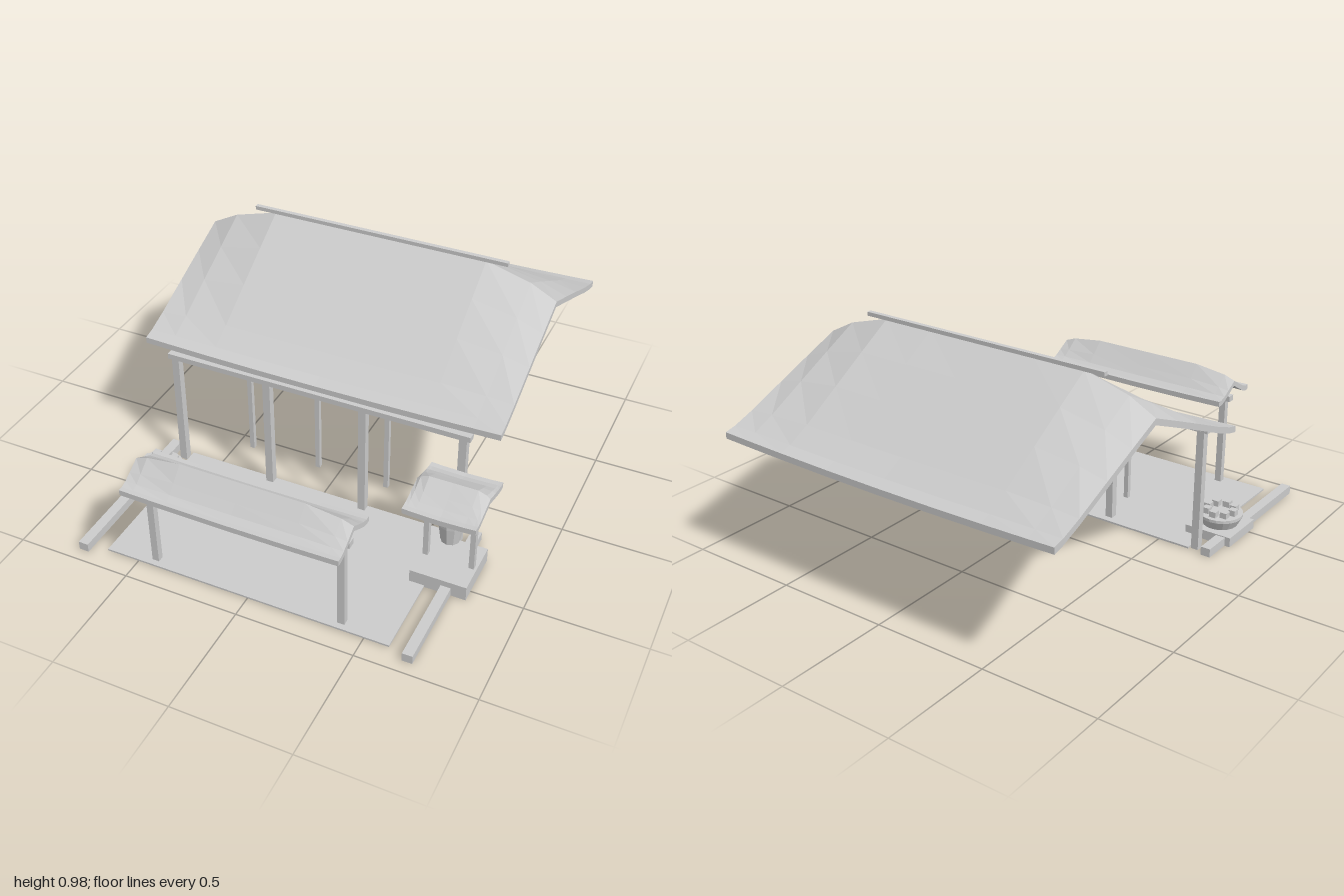
import * as THREE from 'three';

const stone = new THREE.MeshStandardMaterial({ color: 0xcccccc, flatShading: true });
stone.name = 'pale grey';

export function createModel() {
  const model = new THREE.Group();
  model.name = 'templeCourtyard';

  const add = (name, geometry, x = 0, y = 0, z = 0, parent = model) => {
    const mesh = new THREE.Mesh(geometry, stone);
    mesh.name = name;
    mesh.position.set(x, y, z);
    parent.add(mesh);
    return mesh;
  };
  // box given by centre x/z, bottom and top heights
  const box = (name, x, z, w, d, y0, y1, parent) =>
    add(name, new THREE.BoxGeometry(w, y1 - y0, d), x, (y0 + y1) / 2, z, parent);

  // Curved gable roof: ridge = [distance from middle, ridge height],
  // curve = [share of the way from eave to ridge, share of the rise]
  function roof(name, cx, cz, half, eave, lift, thick, ridge, curve) {
    const end = ridge[ridge.length - 1][0];
    const stations = [
      ...ridge.slice().reverse().map(([u, h]) => [-u, h]),
      ...ridge.filter(([u]) => u > 0),
    ];
    const slope = [
      ...curve.map(([s, f]) => [half * (1 - s), f]),
      ...curve.slice(0, -1).reverse().map(([s, f]) => [-half * (1 - s), f]),
    ];
    const n = slope.length, m = 2 * n, pos = [], idx = [];
    for (const [u, h] of stations) {
      const e = eave + lift * (u / end) ** 2;
      const top = slope.map(([z, f]) => [u, e + (h - e) * f, z]);
      const under = top.map(([x, y, z]) => [x, y - thick, z]).reverse();
      pos.push(...top.flat(), ...under.flat());
    }
    for (let i = 0; i < stations.length - 1; i++) {
      for (let j = 0; j < m; j++) {
        const a = i * m + j, b = i * m + (j + 1) % m;
        idx.push(a, a + m, b, b, a + m, b + m);
      }
    }
    const last = (stations.length - 1) * m;
    for (let k = 0; k < n - 1; k++) {
      const t = k, t2 = k + 1, b = m - 1 - k, b2 = m - 2 - k;
      idx.push(last + t, last + b, last + b2, last + t, last + b2, last + t2);
      idx.push(t, b2, b, t, t2, b2);
    }
    const g = new THREE.BufferGeometry();
    g.setAttribute('position', new THREE.Float32BufferAttribute(pos, 3));
    g.setIndex(idx);
    const flat = g.toNonIndexed();
    flat.computeVertexNormals();
    return add(name, flat, cx, 0, cz);
  }

  const flared = [[0, 0], [0.15, 0], [0.35, 0.14], [0.6, 0.46], [1, 1]];
  const sweeping = [[0, 0], [0.08, 0.045], [0.23, 0.185], [0.5, 0.475], [0.75, 0.74], [1, 1]];

  // Main hall
  const cx = -0.02;
  roof('hallRoof', cx, -0.378, 0.622, 0.585, 0.013, 0.027,
    [[0, 0.96], [0.25, 0.96], [0.485, 0.96], [0.68, 0.905], [0.795, 0.845]], sweeping);
  box('hallRidge', cx, -0.38, 1.16, 0.02, 0.958, 0.975);
  box('hallBeam', cx, 0.246, 1.36, 0.036, 0.536, 0.56);
  for (const [u, y] of [[-0.648, 0], [-0.217, 0.02], [0.217, 0.02], [0.648, 0]]) {
    box('hallPost', cx + u, 0.244, 0.033, 0.033, y, 0.54);
  }
  for (const u of [-0.313, 0, 0.313]) {
    box('hangingPole', cx + u, 0.218, 0.02, 0.02, 0.152, 0.555);
  }

  // Courtyard floor and side curbs
  box('courtyardFloor', cx, 0.56, 1.25, 0.69, 0, 0.008);
  for (const s of [-1, 1]) box('sideCurb', cx + s * 0.715, 0.573, 0.043, 0.745, 0, 0.038);

  // Front gate
  roof('gateRoof', cx, 0.866, 0.133, 0.45, 0.006, 0.024,
    [[0, 0.552], [0.265, 0.552], [0.41, 0.533], [0.46, 0.515]], flared);
  box('gateBeam', cx, 0.866, 0.9, 0.034, 0.414, 0.44);
  for (const s of [-1, 1]) box('gatePost', cx + s * 0.413, 0.866, 0.03, 0.028, 0.005, 0.42);

  // Bell shelter
  const bx = 0.66, bz = 0.432;
  box('bellBase', bx, bz, 0.24, 0.245, 0, 0.065);
  for (const s of [-1, 1]) box('bellPost', bx + s * 0.098, bz, 0.022, 0.025, 0.065, 0.4);
  roof('bellRoof', bx, bz, 0.153, 0.396, 0.006, 0.024,
    [[0, 0.462], [0.1, 0.462], [0.135, 0.449], [0.15, 0.436]], flared);
  const bellProfile = [[0, 0.178], [0.04, 0.178], [0.051, 0.26], [0.052, 0.292], [0.036, 0.312], [0, 0.312]];
  add('bell', new THREE.LatheGeometry(bellProfile.map(([r, y]) => new THREE.Vector2(r, y)), 10), bx, 0, bz);

  // Stone basin with a ring of blocks
  const sx = -0.673, sz = 0.436;
  box('basinBase', sx, sz, 0.215, 0.215, 0, 0.042);
  const bowl = [[0, 0.04], [0.075, 0.04], [0.097, 0.082], [0.097, 0.095], [0, 0.095]];
  add('basin', new THREE.LatheGeometry(bowl.map(([r, y]) => new THREE.Vector2(r, y)), 20), sx, 0, sz);
  for (let i = 0; i < 8; i++) {
    const a = (i * Math.PI) / 4;
    box('basinBlock', sx + 0.06 * Math.cos(a), sz + 0.06 * Math.sin(a), 0.031, 0.031, 0.09, 0.121);
  }

  return model;
}
